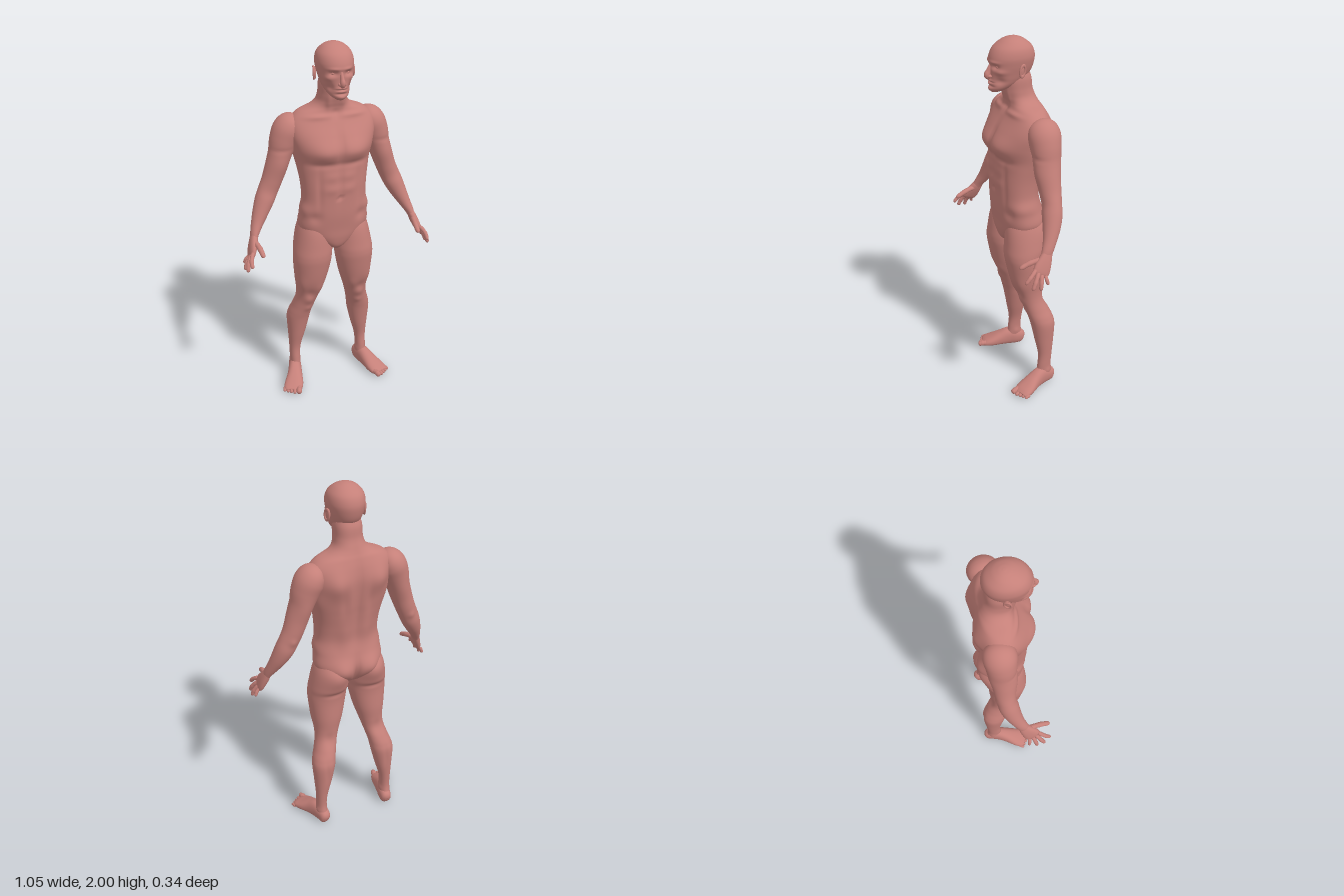
import * as THREE from 'three';

const skin = new THREE.MeshStandardMaterial({ color: 0xc58079 });
skin.name = 'skin';

// Catmull-Rom blend of the rows of a profile table, t from 0 to 1
function sample(rows, t) {
  const f = Math.min(Math.max(t, 0), 1) * (rows.length - 1);
  const i = Math.min(Math.floor(f), rows.length - 2), s = f - i;
  const at = k => rows[Math.min(Math.max(k, 0), rows.length - 1)];
  const [a, b, c, d] = [at(i - 1), at(i), at(i + 1), at(i + 2)];
  return b.map((_, k) => b[k] + 0.5 * s * (c[k] - a[k] + s * (2 * a[k] - 5 * b[k] + 4 * c[k] - d[k]
    + s * (3 * (b[k] - c[k]) + d[k] - a[k]))));
}

// Closed skin through rings; ring(t, cos, sin) gives a point
function loft(ring, steps, segs, n = 2) {
  const pos = [], idx = [], pw = v => Math.sign(v) * Math.abs(v) ** (2 / n);
  const ends = [];
  for (let j = 0; j <= steps; j++) {
    const mean = new THREE.Vector3();
    for (let i = 0; i < segs; i++) {
      const a = i / segs * Math.PI * 2;
      const p = ring(j / steps, pw(Math.cos(a)), pw(Math.sin(a)));
      mean.addScaledVector(p, 1 / segs);
      pos.push(p.x, p.y, p.z);
      const q = j * segs + i, r = j * segs + (i + 1) % segs;
      if (j < steps) idx.push(q, q + segs, r, r, q + segs, r + segs);
    }
    if (j === 0 || j === steps) ends.push(mean);
  }
  const base = (steps + 1) * segs;
  ends.forEach(e => pos.push(e.x, e.y, e.z));
  for (let i = 0; i < segs; i++) {
    const k = (i + 1) % segs, top = steps * segs;
    idx.push(base, i, k, base + 1, top + k, top + i);
  }
  // Turn the faces outward if the enclosed volume is negative
  let vol = 0;
  const P = k => new THREE.Vector3(pos[3 * k], pos[3 * k + 1], pos[3 * k + 2]);
  for (let k = 0; k < idx.length; k += 3) vol += P(idx[k]).dot(P(idx[k + 1]).cross(P(idx[k + 2])));
  if (vol < 0) idx.reverse();
  const g = new THREE.BufferGeometry();
  g.setAttribute('position', new THREE.Float32BufferAttribute(pos, 3));
  g.setIndex(idx);
  g.computeVertexNormals();
  return g;
}

// Upright form; rows are [y, xMin, xMax, zFront, zBack]
const column = (rows, steps, segs, n) => loft((t, c, s) => {
  const [y, x0, x1, zf, zb] = sample(rows, t);
  return new THREE.Vector3((x0 + x1 + (x1 - x0) * c) / 2, y, (zf + zb + (zf - zb) * s) / 2);
}, steps, segs, n);

// Form along a path; rows are [x, y, z, halfWidth, halfDepth], depth lies along ref
const limb = (rows, steps, segs, ref = new THREE.Vector3(0, 0, 1), n = 2) => loft((t, c, s) => {
  const r = sample(rows, t), a = sample(rows, t - 0.02), b = sample(rows, t + 0.02);
  const dir = new THREE.Vector3(b[0] - a[0], b[1] - a[1], b[2] - a[2]).normalize();
  const v = ref.clone().addScaledVector(dir, -ref.dot(dir)).normalize();
  const u = v.clone().cross(dir);
  return new THREE.Vector3(r[0], r[1], r[2]).addScaledVector(u, c * r[3]).addScaledVector(v, s * r[4]);
}, steps, segs, n);

// Soft pushes: [x, y, z, rx, ry, rz, dx, dy, dz]
function sculpt(g, bumps, both) {
  const p = g.attributes.position;
  const all = bumps.flatMap(b => both && b[0] ? [b, b.map((v, k) => k === 0 || k === 6 ? -v : v)] : [b]);
  for (let i = 0; i < p.count; i++) {
    const x = p.getX(i), y = p.getY(i), z = p.getZ(i), d = [0, 0, 0];
    for (const b of all) {
      const w = Math.exp(-(((x - b[0]) / b[3]) ** 2) - ((y - b[1]) / b[4]) ** 2 - ((z - b[2]) / b[5]) ** 2);
      for (let k = 0; k < 3; k++) d[k] += w * b[6 + k];
    }
    p.setXYZ(i, x + d[0], y + d[1], z + d[2]);
  }
  g.computeVertexNormals();
  return g;
}

function mirrored(g) {
  const m = g.clone().scale(-1, 1, 1);
  m.setIndex(Array.from(m.index.array).reverse());
  m.computeVertexNormals();
  return m;
}

// Finger or toe with slight joints and a rounded tip
function digit(base, tip, r, lift, ref) {
  const sizes = [0.9, 1, 0.92, 1, 0.9, 0.88, 0.6, 0.1];
  const stops = [0, 0.2, 0.4, 0.55, 0.7, 0.86, 0.96, 1];
  return limb(stops.map((t, k) => [
    ...base.map((v, a) => v + (tip[a] - v) * t + lift[a] * Math.sin(Math.PI * t)), r * sizes[k], r * sizes[k],
  ]), 18, 14, ref);
}

const ball = (r, sx, sy, sz, x, y, z) => new THREE.SphereGeometry(r, 24, 16).scale(sx, sy, sz).translate(x, y, z);

export function createModel() {
  const model = new THREE.Group();
  model.name = 'figure';
  const add = (name, g) => {
    const m = new THREE.Mesh(g, skin);
    m.name = name;
    model.add(m);
  };
  const pair = (name, g) => { add(name + 'Left', g); add(name + 'Right', mirrored(g)); };

  // Trunk and neck
  const trunk = [
    [0.88, 0.015, 0.05, -0.03], [0.91, 0.065, 0.08, -0.085], [0.96, 0.14, 0.094, -0.125],
    [1.02, 0.19, 0.1, -0.138], [1.1, 0.184, 0.11, -0.126], [1.18, 0.174, 0.114, -0.112],
    [1.26, 0.177, 0.117, -0.122], [1.34, 0.187, 0.114, -0.138], [1.4, 0.195, 0.114, -0.15],
    [1.47, 0.212, 0.12, -0.158], [1.54, 0.228, 0.1, -0.16], [1.6, 0.222, 0.066, -0.15],
    [1.645, 0.18, 0.04, -0.135], [1.672, 0.115, 0.036, -0.122], [1.7, 0.083, 0.044, -0.11],
    [1.74, 0.073, 0.055, -0.096], [1.8, 0.07, 0.06, -0.088], [1.86, 0.05, 0.03, -0.06],
  ].map(([y, w, f, b]) => [y, -w, w, f, b]);
  const torso = column(trunk, 130, 96, 2.3);
  sculpt(torso, [ // chest, belly and pelvis
    [0.085, 1.47, 0.12, 0.085, 0.06, 0.09, 0, -0.004, 0.026],
    [0, 1.49, 0.12, 0.018, 0.08, 0.08, 0, 0, -0.014],
    [0.085, 1.393, 0.11, 0.08, 0.018, 0.07, 0, 0, -0.008],
    [0, 1.29, 0.12, 0.014, 0.1, 0.06, 0, 0, -0.007],
    [0.045, 1.255, 0.12, 0.04, 0.025, 0.06, 0, 0, 0.005],
    [0.045, 1.325, 0.12, 0.04, 0.025, 0.06, 0, 0, 0.005],
    [0.105, 1.25, 0.1, 0.014, 0.12, 0.06, 0, 0, -0.007],
    [0, 1.205, 0.12, 0.012, 0.01, 0.05, 0, 0, -0.012],
    [0.125, 1.09, 0.08, 0.03, 0.03, 0.06, 0, 0, -0.01],
    [0.17, 1.13, 0.02, 0.04, 0.035, 0.08, 0.008, 0, 0.004],
    [0.1, 1.63, 0.04, 0.07, 0.012, 0.05, 0, 0.004, 0.008],
    [0, 1.64, 0.04, 0.02, 0.02, 0.05, 0, 0, -0.01],
    [0.035, 1.7, 0.04, 0.014, 0.05, 0.05, 0.003, 0, 0.006],
  ], true);
  sculpt(torso, [ // back and seat
    [0, 1.42, -0.15, 0.022, 0.2, 0.07, 0, 0, 0.018],
    [0.12, 1.53, -0.15, 0.06, 0.075, 0.06, 0, 0, -0.024],
    [0.07, 1.42, -0.15, 0.018, 0.07, 0.06, 0, 0, 0.007],
    [0.06, 1.22, -0.11, 0.035, 0.1, 0.06, 0, 0, -0.01],
    [0.19, 1.42, -0.06, 0.06, 0.07, 0.09, 0.008, 0, -0.006],
    [0.085, 1.01, -0.13, 0.065, 0.07, 0.08, 0, 0, -0.032],
    [0, 0.98, -0.14, 0.016, 0.08, 0.08, 0, 0, 0.025],
  ], true);
  add('torso', torso);

  // Head
  const skull = [
    [1.734, 0.018, 0.118, 0.07], [1.75, 0.043, 0.129, 0.03], [1.775, 0.062, 0.129, -0.02],
    [1.8, 0.072, 0.128, -0.06], [1.83, 0.08, 0.127, -0.088], [1.87, 0.09, 0.128, -0.103],
    [1.91, 0.095, 0.125, -0.107], [1.95, 0.086, 0.104, -0.093], [1.98, 0.06, 0.066, -0.06],
    [1.995, 0.03, 0.032, -0.03], [2, 0.006, 0.006, -0.006],
  ].map(([y, w, f, b]) => [y, -w, w, f, b]);
  add('head', sculpt(column(skull, 110, 110, 2.1), [
    [0.036, 1.867, 0.11, 0.019, 0.012, 0.04, 0, 0, -0.015],
    [0.034, 1.889, 0.11, 0.03, 0.008, 0.04, 0, 0, 0.006],
    [0.06, 1.842, 0.09, 0.02, 0.014, 0.04, 0.004, 0, 0.006],
    [0.052, 1.795, 0.09, 0.018, 0.02, 0.04, -0.006, 0, -0.008],
    [0, 1.766, 0.13, 0.03, 0.006, 0.04, 0, 0, -0.007],
    [0, 1.787, 0.13, 0.026, 0.003, 0.04, 0, 0, -0.006],
    [0, 1.795, 0.13, 0.022, 0.006, 0.04, 0, 0, 0.007],
    [0, 1.779, 0.13, 0.02, 0.006, 0.04, 0, 0, 0.006],
    [0, 1.748, 0.13, 0.02, 0.012, 0.04, 0, 0, 0.005],
  ], true));
  add('nose', limb([
    [0, 1.884, 0.118, 0.005, 0.005], [0, 1.862, 0.124, 0.009, 0.011], [0, 1.84, 0.132, 0.011, 0.015],
    [0, 1.823, 0.14, 0.014, 0.017], [0, 1.811, 0.135, 0.013, 0.014], [0, 1.805, 0.126, 0.007, 0.006],
  ], 30, 24));
  pair('nostril', ball(0.01, 0.9, 0.85, 1.3, 0.012, 1.816, 0.13));
  pair('eyelid', ball(0.014, 1.1, 0.75, 1, 0.035, 1.866, 0.095));

  // Ears, a flat shell with a raised rim
  const earTurn = g => g.rotateY(Math.PI / 2 + 0.3).rotateX(-0.15).translate(0.096, 1.85, -0.002);
  pair('earShell', earTurn(ball(0.02, 0.85, 1.6, 0.35, 0, 0, 0)));
  pair('earRim', earTurn(new THREE.TorusGeometry(0.016, 0.005, 10, 28).scale(1, 1.75, 1).translate(0, 0, 0.006)));

  // Arms
  pair('arm', sculpt(limb([
    [0.165, 1.605, -0.065, 0.02, 0.03], [0.193, 1.588, -0.065, 0.06, 0.07], [0.225, 1.555, -0.063, 0.076, 0.084],
    [0.25, 1.5, -0.06, 0.073, 0.078], [0.272, 1.43, -0.057, 0.062, 0.067], [0.295, 1.36, -0.055, 0.058, 0.062],
    [0.32, 1.29, -0.055, 0.054, 0.056], [0.344, 1.235, -0.052, 0.053, 0.05], [0.367, 1.185, -0.044, 0.051, 0.052],
    [0.393, 1.13, -0.029, 0.043, 0.046], [0.42, 1.075, -0.007, 0.032, 0.036], [0.441, 1.03, 0.016, 0.023, 0.03],
    [0.45, 1, 0.03, 0.017, 0.028],
  ], 90, 44), [
    [0.285, 1.39, 0, 0.05, 0.06, 0.04, 0, 0, 0.007],
    [0.275, 1.42, -0.12, 0.05, 0.06, 0.04, 0, 0, -0.007],
    [0.34, 1.24, -0.105, 0.02, 0.02, 0.03, 0, 0, -0.006],
    [0.27, 1.46, -0.01, 0.05, 0.012, 0.05, -0.003, 0, -0.004],
  ]));

  // Hands
  pair('palm', limb([
    [0.442, 1.03, 0.014, 0.018, 0.024], [0.456, 0.99, 0.036, 0.02, 0.036], [0.468, 0.957, 0.056, 0.018, 0.044],
    [0.477, 0.932, 0.069, 0.014, 0.043], [0.482, 0.92, 0.075, 0.006, 0.034],
  ], 30, 28, undefined, 2.4));
  [['index', [0.472, 0.956, 0.095], [0.492, 0.9, 0.16], 0.0115],
    ['middle', [0.476, 0.942, 0.08], [0.51, 0.866, 0.128], 0.012],
    ['ring', [0.477, 0.93, 0.063], [0.515, 0.859, 0.086], 0.0115],
    ['little', [0.473, 0.925, 0.046], [0.51, 0.878, 0.042], 0.01],
  ].forEach(([n, a, b, r]) => pair(n + 'Finger', digit(a, b, r, [0.008, 0.003, 0.003])));
  pair('thumb', digit([0.452, 0.995, 0.04], [0.433, 0.958, 0.166], 0.0145, [-0.003, 0.008, 0], new THREE.Vector3(0, 1, 0)));

  // Legs
  pair('leg', sculpt(column([
    [0.02, 0.182, 0.228, -0.07, -0.145], [0.06, 0.176, 0.234, -0.055, -0.15], [0.12, 0.177, 0.235, -0.06, -0.14],
    [0.2, 0.17, 0.236, -0.065, -0.145], [0.3, 0.143, 0.242, -0.047, -0.156], [0.4, 0.12, 0.248, -0.028, -0.163],
    [0.45, 0.112, 0.24, -0.015, -0.153], [0.5, 0.1, 0.223, 0, -0.132], [0.56, 0.083, 0.208, 0.018, -0.108],
    [0.62, 0.065, 0.206, 0.042, -0.105], [0.7, 0.04, 0.216, 0.073, -0.11], [0.8, 0.018, 0.225, 0.094, -0.11],
    [0.85, 0.012, 0.224, 0.1, -0.116], [0.9, 0.008, 0.218, 0.097, -0.134], [1, 0.014, 0.196, 0.084, -0.14],
    [1.09, 0.03, 0.16, 0.05, -0.08],
  ], 120, 52, 2.1), [
    [0.148, 0.56, 0.02, 0.03, 0.03, 0.05, 0, 0, 0.009],
    [0.148, 0.495, 0, 0.02, 0.02, 0.04, 0, 0, 0.005],
    [0.1, 0.64, 0.03, 0.03, 0.045, 0.05, -0.003, 0, 0.008],
    [0.19, 0.67, 0.03, 0.03, 0.06, 0.05, 0.003, 0, 0.006],
    [0.148, 0.61, 0.04, 0.022, 0.03, 0.05, 0, 0, -0.006],
    [0.15, 0.56, -0.11, 0.025, 0.05, 0.04, 0, 0, 0.008],
    [0.185, 0.37, -0.16, 0.012, 0.07, 0.03, 0, 0, 0.005],
    [0.1, 0.98, -0.13, 0.06, 0.06, 0.06, 0, 0, -0.016],
    [0.11, 0.865, -0.12, 0.07, 0.018, 0.04, 0, 0, 0.008],
    [0.175, 0.1, -0.1, 0.03, 0.02, 0.02, -0.005, 0, 0],
    [0.235, 0.085, -0.11, 0.03, 0.02, 0.02, 0.005, 0, 0],
  ]));

  // Feet, turned outward with flat soles
  const up = new THREE.Vector3(0, 1, 0);
  const foot = limb([
    [0.198, 0.032, -0.161, 0.01, 0.014], [0.2, 0.036, -0.148, 0.029, 0.038], [0.205, 0.045, -0.11, 0.036, 0.05],
    [0.216, 0.05, -0.07, 0.038, 0.055], [0.232, 0.04, -0.02, 0.044, 0.044], [0.252, 0.027, 0.03, 0.053, 0.031],
    [0.268, 0.019, 0.065, 0.052, 0.021], [0.276, 0.015, 0.085, 0.04, 0.012],
  ], 50, 40, up, 2.3);
  const fp = foot.attributes.position;
  for (let i = 0; i < fp.count; i++) fp.setY(i, Math.max(fp.getY(i), 0));
  foot.computeVertexNormals();
  pair('foot', foot);
  for (let i = 0; i < 5; i++) {
    const r = i ? 0.0115 - 0.0005 * i : 0.0165, len = 0.054 - 0.006 * i;
    const x = 0.234 + i * 0.018 + (i ? 0.006 : 0), z = 0.072 - i * 0.007;
    pair('toe' + (i + 1), digit([x, r + 0.004, z], [x + 0.3 * len, r, z + 0.95 * len], r, [0, 0.003, 0], up));
  }
  return model;
}
